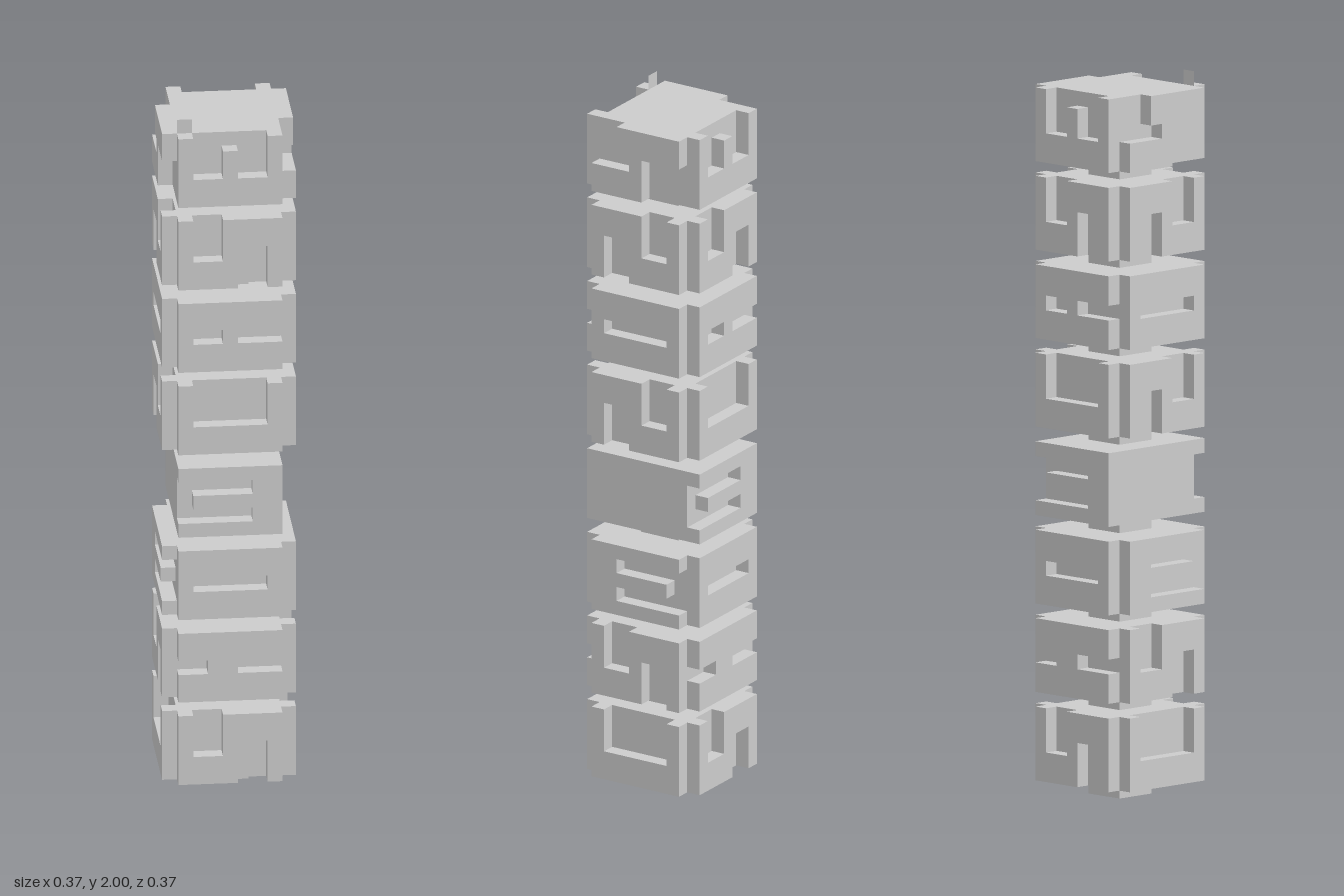
import * as THREE from 'three';

const U = 2 / 49; // grid unit: 48 units of stacked blocks plus a 1-unit tab
const material = new THREE.MeshStandardMaterial({ color: 0xcccccc, flatShading: true });

// Relief outlines on a 7 x 5 unit panel, as x,y pairs; optional slot hole [x0, y0, x1, y1]
const reliefs = {
  basin: { outline: [0, 0, 7, 0, 7, 5, 6, 5, 6, 2, 1, 2, 1, 5, 0, 5] },
  basinPost: { outline: [0, 0, 7, 0, 7, 5, 6, 5, 6, 2, 4, 2, 4, 4, 3, 4, 3, 2, 1, 2, 1, 5, 0, 5] },
  meander: { outline: [0, 0, 4, 0, 4, 3, 6, 3, 6, 0, 7, 0, 7, 5, 3, 5, 3, 2, 1, 2, 1, 5, 0, 5] },
  slotNotch: { outline: [0, 0, 7, 0, 7, 2, 4, 2, 4, 3, 7, 3, 7, 5, 0, 5], hole: [1, 2, 3, 3] },
  slot: { outline: [0, 0, 7, 0, 7, 5, 0, 5], hole: [1, 2, 6, 3] },
  twoNotches: { outline: [0, 0, 7, 0, 7, 2, 4, 2, 4, 3, 7, 3, 7, 5, 0, 5, 0, 3, 2, 3, 2, 2, 0, 2] },
  comb: { outline: [0, 0, 7, 0, 7, 5, 0, 5, 0, 4, 5, 4, 5, 3, 1, 3, 1, 2, 5, 2, 5, 1, 0, 1] },
  step: { outline: [0, 0, 4, 0, 4, 3, 7, 3, 7, 5, 2, 5, 2, 3, 3, 3, 3, 2, 0, 2] },
};

// Blocks from bottom to top: [front relief, side relief, side mirrored]
const blocks = [
  ['meander', 'basin'],
  ['twoNotches', 'meander'],
  ['slot', 'comb', true],
  ['comb', null],
  ['basin', 'meander', true],
  ['slotNotch', 'slot'],
  ['meander', 'meander', true],
  ['basinPost', 'step'],
];

function box(name, w, h, d, y) {
  const mesh = new THREE.Mesh(new THREE.BoxGeometry(w * U, h * U, d * U), material);
  mesh.name = name;
  mesh.position.y = (y + h / 2) * U;
  return mesh;
}

// One-unit-thick relief panel standing on the front of the core
function reliefGeometry(key, mirrored) {
  const { outline, hole } = reliefs[key];
  const point = (x, y) => new THREE.Vector2((mirrored ? 3.5 - x : x - 3.5) * U, y * U);
  const points = [];
  for (let i = 0; i < outline.length; i += 2) points.push(point(outline[i], outline[i + 1]));
  const shape = new THREE.Shape(points);
  if (hole) {
    const [x0, y0, x1, y1] = hole;
    shape.holes.push(new THREE.Path([point(x0, y0), point(x0, y1), point(x1, y1), point(x1, y0)]));
  }
  const geometry = new THREE.ExtrudeGeometry(shape, { depth: U, bevelEnabled: false });
  return geometry.translate(0, 0, 3.5 * U);
}

export function createModel() {
  const model = new THREE.Group();
  model.name = 'carvedColumn';

  blocks.forEach(([front, side, mirrored], i) => {
    const block = new THREE.Group();
    block.name = `block${i + 1}`;
    block.position.y = i * 6 * U;
    block.add(box('neck', 3, 1, 3, 0), box('core', 7, 5, 7, 1));

    // Each relief repeats on the opposite face, turned half around
    const addPair = (key, flip, names, angle) => {
      const geometry = reliefGeometry(key, flip);
      names.forEach((name, k) => {
        const panel = new THREE.Mesh(geometry, material);
        panel.name = name;
        panel.position.y = U;
        panel.rotation.y = angle + k * Math.PI;
        block.add(panel);
      });
    };
    addPair(front, false, ['frontRelief', 'backRelief'], 0);
    if (side) addPair(side, mirrored, ['leftRelief', 'rightRelief'], Math.PI / 2);
    model.add(block);
  });

  // Thin upright tab on the top edge
  const tabMaterial = material.clone();
  tabMaterial.side = THREE.DoubleSide;
  const tab = new THREE.Mesh(new THREE.PlaneGeometry(U, U), tabMaterial);
  tab.name = 'topTab';
  tab.position.set(-3 * U, 48.5 * U, 3.5 * U);
  model.add(tab);

  return model;
}
